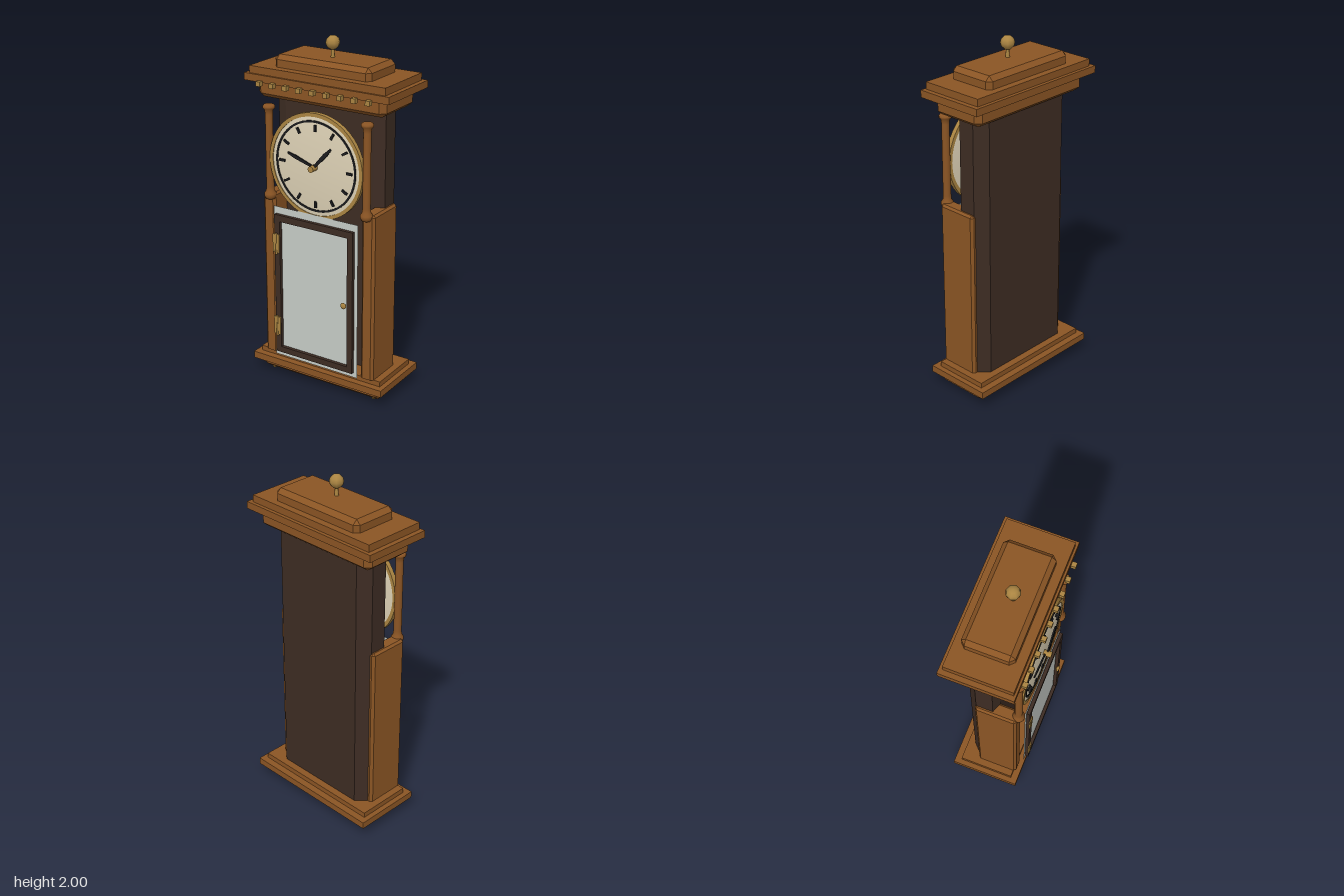
import * as THREE from 'three';
import { mergeVertices } from 'three/addons/utils/BufferGeometryUtils.js';

const mat = (name, color, side = THREE.FrontSide) => {
  const m = new THREE.MeshStandardMaterial({ color, side });
  m.name = name;
  return m;
};

// Block with chamfered upright edges; layers are [y, inset] from bottom to top
function block(hw, hd, c, layers) {
  const ring = ([y, i]) => {
    const a = hw - i, b = hd - i, p = hw - c, q = hd - c;
    return [[a, q], [p, b], [-p, b], [-a, q], [-a, -q], [-p, -b], [p, -b], [a, -q]].map(([x, z]) => [x, y, z]);
  };
  const rings = layers.map(ring), pos = [];
  const tri = (...pts) => pts.forEach((p) => pos.push(...p));
  for (let k = 0; k < rings.length - 1; k++) {
    const lo = rings[k], hi = rings[k + 1];
    for (let j = 0; j < 8; j++) {
      const n = (j + 1) % 8;
      tri(lo[j], hi[j], hi[n]);
      tri(lo[j], hi[n], lo[n]);
    }
  }
  const bottom = rings[0], top = rings[rings.length - 1];
  for (let j = 1; j < 7; j++) {
    tri(bottom[0], bottom[j], bottom[j + 1]);
    tri(top[0], top[j + 1], top[j]);
  }
  const g = new THREE.BufferGeometry();
  g.setAttribute('position', new THREE.Float32BufferAttribute(pos, 3));
  g.computeVertexNormals();
  return g;
}

const shapeOf = (pts) => new THREE.Shape(pts.map(([x, y]) => new THREE.Vector2(x, y)));
const rect = (x0, y0, x1, y1) => shapeOf([[x0, y0], [x1, y0], [x1, y1], [x0, y1]]);
const extrude = (shape, depth, curveSegments = 32) =>
  new THREE.ExtrudeGeometry(shape, { depth, bevelEnabled: false, curveSegments });

export function createModel() {
  const wood = mat('warm wood', 0x8b5524);
  const dark = mat('dark wood', 0x3d2c23);
  const brass = mat('brass', 0xab8542);
  const cream = mat('cream dial', 0xded2b6);
  const black = mat('black enamel', 0x1b1c1e);
  const glass = mat('pale glass', 0xc6ccc6, THREE.DoubleSide);

  const root = new THREE.Group();
  root.name = 'pendulumClock';
  const add = (name, geo, material, x = 0, y = 0, z = 0, parent = root) => {
    const m = new THREE.Mesh(geo, material);
    m.name = name;
    m.position.set(x, y, z);
    parent.add(m);
    return m;
  };
  const slab = (name, w, y0, y1, z0, z1, material = wood) =>
    add(name, new THREE.BoxGeometry(w, y1 - y0, z1 - z0), material, 0, (y0 + y1) / 2, (z0 + z1) / 2);

  // Stepped base
  add('basePlinth', block(0.4, 0.16, 0.03, [[0.01, 0.03], [0.035, 0], [0.07, 0]]), wood, 0, 0, -0.02);
  slab('baseMoulding', 0.86, 0.07, 0.11, -0.22, 0.18);
  slab('baseTop', 0.8, 0.11, 0.14, -0.18, 0.14);
  for (const x of [-0.34, 0.34]) for (const z of [-0.14, 0.1])
    add('foot', new THREE.CylinderGeometry(0.016, 0.01, 0.012, 10), brass, x, 0.006, z);

  // Dark case with chamfered upright edges (outline in x and -z)
  const outline = shapeOf([[-0.28, -0.038], [0.28, -0.038], [0.34, -0.016], [0.34, 0.08],
    [0.28, 0.138], [-0.28, 0.138], [-0.34, 0.08], [-0.34, -0.016]]);
  add('case', extrude(outline, 1.52).rotateX(-Math.PI / 2), dark, 0, 0.13, 0);

  // Side panels and turned columns
  const columnProfile = [[0, 1.08], [0.026, 1.08], [0.034, 1.095], [0.034, 1.11], [0.024, 1.125], [0.022, 1.15],
    [0.021, 1.56], [0.024, 1.585], [0.034, 1.595], [0.034, 1.605], [0.028, 1.613], [0, 1.613]]
    .map(([r, y]) => new THREE.Vector2(r, y));
  for (const s of [-1, 1]) {
    add('sidePanel', block(0.04, 0.12, 0.014, [[0.14, 0], [1.1, 0], [1.112, 0.012]]), wood, s * 0.32, 0, 0.035);
    add('column', new THREE.LatheGeometry(columnProfile, 16), wood, s * 0.31, 0, 0.152);
  }

  // Stepped cornice
  add('corniceBlock', block(0.4, 0.16, 0.03, [[1.64, 0.03], [1.665, 0], [1.74, 0]]), wood, 0, 0, -0.02);
  slab('corniceMoulding', 0.9, 1.735, 1.775, -0.22, 0.18);
  slab('corniceTop', 0.845, 1.775, 1.815, -0.2, 0.168);
  add('crown', block(0.3, 0.14, 0.025, [[1.815, 0], [1.857, 0], [1.882, 0.025]]), wood, 0, 0, -0.02);
  for (let i = -4; i <= 4; i++)
    add('dentil', new THREE.BoxGeometry(0.027, 0.026, 0.026), brass, i * 0.085, 1.732, 0.194);

  // Finial
  add('finialStem', new THREE.CylinderGeometry(0.008, 0.012, 0.06, 8), brass, 0, 1.905, 0);
  add('finialBall', new THREE.SphereGeometry(0.039, 8, 6), brass, 0, 1.961, 0);

  // Dial: soft-edged disc with bezel, chapter ring and ticks
  const dial = new THREE.Group();
  dial.name = 'dial';
  dial.position.set(0, 1.323, 0);
  root.add(dial);
  let face = new THREE.CylinderGeometry(0.28, 0.28, 0.02, 48).rotateX(Math.PI / 2);
  face.deleteAttribute('normal');
  face.deleteAttribute('uv');
  face = mergeVertices(face, 1e-4);
  face.computeVertexNormals();
  add('dialFace', face, cream, 0, 0, 0.157, dial);
  const annulus = (r1, r0) => {
    const s = new THREE.Shape().absarc(0, 0, r1, 0, Math.PI * 2, false);
    s.holes.push(new THREE.Path().absarc(0, 0, r0, 0, Math.PI * 2, true));
    return s;
  };
  add('bezel', extrude(annulus(0.295, 0.274), 0.026), brass, 0, 0, 0.145, dial);
  add('chapterRing', extrude(annulus(0.254, 0.243), 0.004), black, 0, 0, 0.167, dial);
  for (let i = 0; i < 12; i++) {
    const a = i * Math.PI / 6;
    const t = add('hourTick', new THREE.BoxGeometry(0.013, 0.036, 0.008), black,
      Math.sin(a) * 0.213, Math.cos(a) * 0.213, 0.171, dial);
    t.rotation.z = -a;
  }

  // Tapered hands and hub
  const hand = (name, dx, dy, w, z) => {
    const len = Math.hypot(dx, dy);
    const s = shapeOf([[-w * 0.35, 0], [w * 0.35, 0], [w * 0.6, len * 0.7], [w * 0.3, len], [-w * 0.3, len], [-w * 0.6, len * 0.7]]);
    add(name, extrude(s, 0.008), black, 0, 0, z, dial).rotation.z = Math.atan2(-dx, dy);
  };
  hand('hourHand', -0.168, 0.055, 0.016, 0.178);
  hand('minuteHand', 0.11, 0.12, 0.019, 0.187);
  add('handHub', new THREE.CylinderGeometry(0.017, 0.017, 0.045, 14).rotateX(Math.PI / 2), brass, 0, -0.002, 0.194, dial);

  // Door: pale backing sheet, dark frame, hinges and knob
  add('doorSheet', new THREE.PlaneGeometry(0.545, 0.91), glass, 0, 0.595, 0.174);
  const frame = rect(-0.255, 0.172, 0.253, 1.01);
  frame.holes.push(rect(-0.22, 0.207, 0.218, 0.972));
  add('doorFrame', extrude(frame, 0.02), dark, 0, 0, 0.177);
  for (const y of [0.34, 0.842]) {
    add('hingePlate', new THREE.BoxGeometry(0.042, 0.108, 0.008), brass, -0.243, y, 0.199);
    add('hingePin', new THREE.CylinderGeometry(0.007, 0.007, 0.125, 8), brass, -0.243, y - 0.004, 0.199);
  }
  add('knobStem', new THREE.CylinderGeometry(0.007, 0.007, 0.014, 8).rotateX(Math.PI / 2), brass, 0.2, 0.575, 0.196);
  add('knob', new THREE.SphereGeometry(0.018, 12, 8).scale(1, 1, 0.5), brass, 0.2, 0.575, 0.203);

  return root;
}
